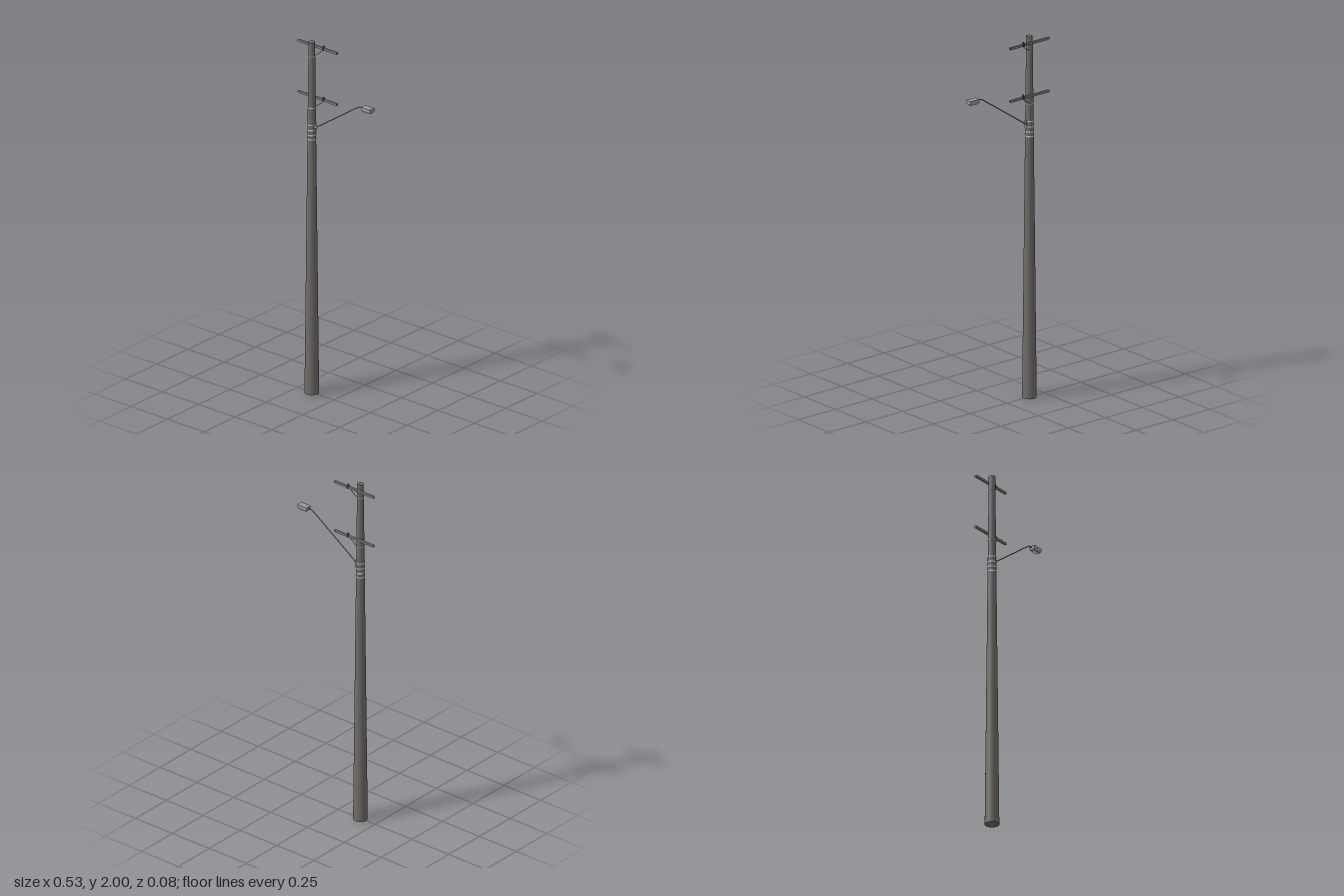
import * as THREE from 'three';

export function createModel() {
  const model = new THREE.Group();
  model.name = 'utilityPole';
  const mat = (name, color) => new THREE.MeshStandardMaterial({ name, color });
  const wood = mat('weatheredWood', 0x706c69);
  const armWood = mat('armGrey', 0x858484);
  const metal = mat('galvanisedMetal', 0x9a9a9a);
  const bandMetal = mat('bandMetal', 0xd2d2d2);
  const ceramic = mat('brownCeramic', 0x5a2c22);
  const lens = mat('lampLens', 0xeeeeee);

  const poleX = -0.151;
  const poleRadius = (y) => 0.0383 - 0.0106 * y;

  function add(parent, name, geometry, material, x = 0, y = 0, z = 0) {
    const mesh = new THREE.Mesh(geometry, material);
    mesh.name = name;
    mesh.position.set(x, y, z);
    parent.add(mesh);
    return mesh;
  }
  // Round bar between two points
  function bar(parent, name, a, b, radius, material) {
    const from = new THREE.Vector3(...a), to = new THREE.Vector3(...b);
    const dir = to.clone().sub(from);
    const mesh = add(parent, name, new THREE.CylinderGeometry(radius, radius, dir.length(), 10), material);
    mesh.position.copy(from).add(to).multiplyScalar(0.5);
    mesh.quaternion.setFromUnitVectors(new THREE.Vector3(0, 1, 0), dir.normalize());
  }
  // Metal strap around the pole
  function band(parent, y, height) {
    const r = poleRadius(y) + 0.0015;
    add(parent, 'poleBand', new THREE.CylinderGeometry(r, r, height, 32), bandMetal, poleX, y, 0);
  }

  // Tapered pole
  add(model, 'pole', new THREE.CylinderGeometry(poleRadius(2), poleRadius(0), 2, 32), wood, poleX, 1, 0);

  // Straps below the lamp arm
  for (const y of [1.45, 1.475, 1.503, 1.533]) band(model, y, 0.007);

  // Two crossarms with brace, bolt and insulator
  for (const y of [1.969, 1.677]) {
    const arm = new THREE.Group();
    arm.name = 'crossarmAssembly';
    model.add(arm);
    add(arm, 'crossarm', new THREE.BoxGeometry(0.267, 0.012, 0.011), armWood, -0.1305, y, -0.0245);
    add(arm, 'armBolt', new THREE.CylinderGeometry(0.003, 0.003, 0.05, 8).rotateX(Math.PI / 2), metal, poleX, y, -0.008);
    bar(arm, 'brace', [poleX + 0.014, y - 0.046, -0.016], [-0.085, y - 0.004, -0.018], 0.002, bandMetal);
    band(arm, y - 0.048, 0.004);
    add(arm, 'insulatorClamp', new THREE.BoxGeometry(0.012, 0.014, 0.014), ceramic, -0.09, y, -0.0245);
    const profile = [[0, 0], [0.005, 0], [0.0055, 0.003], [0.0035, 0.005], [0.0045, 0.007], [0, 0.009]]
      .map(([r, h]) => new THREE.Vector2(r, h));
    add(arm, 'insulatorPin', new THREE.CylinderGeometry(0.002, 0.002, 0.012, 8), metal, -0.09, y + 0.01, -0.0245);
    add(arm, 'insulator', new THREE.LatheGeometry(profile, 14), ceramic, -0.09, y + 0.01, -0.0245);
  }

  // Street lamp arm with its mounting bracket
  const lamp = new THREE.Group();
  lamp.name = 'streetLamp';
  model.add(lamp);
  add(lamp, 'bracketPlate', new THREE.BoxGeometry(0.007, 0.044, 0.014), metal, -0.128, 1.515, 0);
  add(lamp, 'bracketSocket', new THREE.BoxGeometry(0.01, 0.014, 0.01), metal, -0.121, 1.523, 0);
  const path = new THREE.CurvePath();
  const points = [[-0.122, 1.52], [0.16, 1.714], [0.178, 1.724], [0.212, 1.726]]
    .map(([x, y]) => new THREE.Vector3(x, y, 0));
  path.add(new THREE.LineCurve3(points[0], points[1]));
  path.add(new THREE.QuadraticBezierCurve3(points[1], new THREE.Vector3(0.172, 1.723, 0), points[2]));
  path.add(new THREE.LineCurve3(points[2], points[3]));
  add(lamp, 'lampArm', new THREE.TubeGeometry(path, 60, 0.003, 10), metal);

  // Lamp head: low-pitched top and tapered lower half
  const tiers = [[0.026, 0.0125, 1.71], [0.031, 0.017, 1.719], [0.031, 0.017, 1.735], [0, 0, 1.739]];
  const ring = tiers.map(([hx, hz, y]) => [[-hx, -hz], [-hx, hz], [hx, hz], [hx, -hz]].map(([x, z]) => [0.232 + x, y, z]));
  const verts = [];
  for (let i = 0; i < 3; i++) {
    for (let k = 0; k < 4; k++) {
      const n = (k + 1) % 4;
      const [a, b, c, d] = [ring[i][k], ring[i][n], ring[i + 1][n], ring[i + 1][k]];
      verts.push(...a, ...b, ...c);
      if (i < 2) verts.push(...a, ...c, ...d);
    }
  }
  const [p, q, r, s] = ring[0];
  verts.push(...p, ...r, ...q, ...p, ...s, ...r);
  const head = new THREE.BufferGeometry();
  head.setAttribute('position', new THREE.Float32BufferAttribute(verts, 3));
  head.computeVertexNormals();
  add(lamp, 'lampHead', head, metal);
  add(lamp, 'lampLens', new THREE.BoxGeometry(0.046, 0.003, 0.021), lens, 0.232, 1.7095, 0);

  return model;
}
